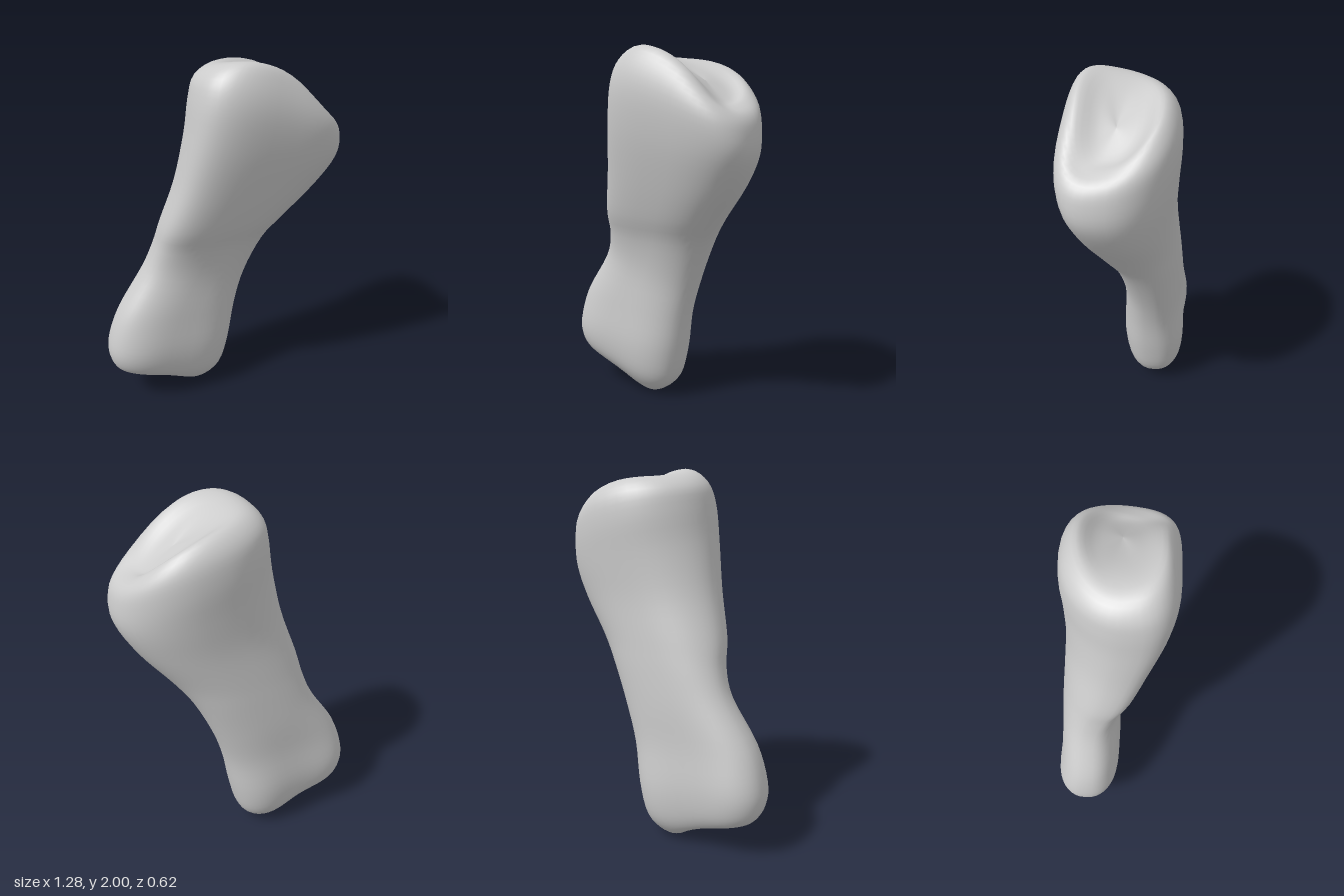
import * as THREE from 'three';

// Cross-sections from the lower end to the upper end of the bone:
// [left x, left y, front z,  right x, right y, back z,  bow, forward ends, groove]
const SECTIONS = [
  [-0.32, 0.13, -0.14, -0.28, 0.11, -0.14, 0.01, 0.00, 0.0],
  [-0.50, 0.175, -0.08, -0.15, 0.01, -0.20, 0.02, 0.00, 0.1],
  [-0.59, 0.20, -0.01, -0.05, 0.02, -0.27, 0.02, 0.00, 0.2],
  [-0.635, 0.28, 0.05, 0.05, 0.11, -0.32, 0.01, 0.00, 0.22],
  [-0.635, 0.40, 0.075, 0.10, 0.29, -0.335, 0.00, 0.00, 0.2],
  [-0.57, 0.59, 0.06, 0.14, 0.52, -0.30, 0.00, 0.00, 0.1],
  [-0.42, 0.82, 0.05, 0.20, 0.72, -0.28, 0.00, 0.00, 0.0],
  [-0.36, 0.97, 0.09, 0.30, 0.95, -0.27, 0.00, 0.01, 0.0],
  [-0.33, 1.12, 0.155, 0.40, 1.10, -0.26, 0.00, 0.03, 0.0],
  [-0.26, 1.36, 0.23, 0.55, 1.29, -0.25, 0.00, 0.05, 0.0],
  [-0.21, 1.62, 0.29, 0.635, 1.45, -0.26, 0.00, 0.07, 0.0],
  [-0.18, 1.81, 0.315, 0.635, 1.58, -0.27, 0.03, 0.07, 0.0],
  [-0.14, 1.92, 0.29, 0.60, 1.66, -0.25, 0.07, 0.06, 0.0],
  [-0.04, 1.98, 0.23, 0.53, 1.70, -0.18, 0.09, 0.05, 0.0],
  [0.10, 1.95, 0.13, 0.46, 1.73, -0.09, 0.03, 0.02, 0.0],
  [0.32, 1.83, 0.03, 0.33, 1.825, 0.03, 0.00, 0.00, 0.0],
];

const STEPS = (SECTIONS.length - 1) * 4;
const SIDES = 48;

// Smooth curve through three neighbouring columns of the section list
function track(column) {
  const points = SECTIONS.map((s) => new THREE.Vector3(s[column], s[column + 1], s[column + 2]));
  return new THREE.CatmullRomCurve3(points, false, 'catmullrom', 0.5);
}

// Rounded-box style outline coordinate
const soften = (v) => Math.sign(v) * Math.pow(Math.abs(v), 0.84);

function boneGeometry() {
  const leftEdge = track(0);
  const rightEdge = track(3);
  const shaping = track(6);
  const positions = [];
  const index = [];

  for (let i = 0; i <= STEPS; i++) {
    const t = i / STEPS;
    const l = leftEdge.getPoint(t);
    const r = rightEdge.getPoint(t);
    const s = shaping.getPoint(t);
    const axis = new THREE.Vector2(r.x - l.x, r.y - l.y);
    const normal = new THREE.Vector2(-axis.y, axis.x).normalize();
    const midZ = (l.z + r.z) / 2;
    const halfZ = (l.z - r.z) / 2;

    for (let j = 0; j < SIDES; j++) {
      const a = (j / SIDES) * Math.PI * 2;
      const u = soften(Math.cos(a));
      const w = soften(Math.sin(a));
      const middle = 1 - u * u;
      // groove between the two knuckles, deeper at the back
      const dent = 1 - s.z * middle ** 3 * (w < 0 ? 1 : 0.4);
      // saddle bow, twisted so the front corner and the opposite back corner rise
      const lift = s.x * (middle - 0.5 * u * w);
      positions.push(
        (l.x + r.x) / 2 + (axis.x * u) / 2 + normal.x * lift,
        (l.y + r.y) / 2 + (axis.y * u) / 2 + normal.y * lift,
        midZ + halfZ * w * dent + s.y * u * u
      );
    }
  }

  for (let i = 0; i < STEPS; i++) {
    for (let j = 0; j < SIDES; j++) {
      const a = i * SIDES + j;
      const b = i * SIDES + ((j + 1) % SIDES);
      index.push(a, a + SIDES, b, b, a + SIDES, b + SIDES);
    }
  }

  const geometry = new THREE.BufferGeometry();
  geometry.setAttribute('position', new THREE.Float32BufferAttribute(positions, 3));
  geometry.setIndex(index);
  geometry.computeVertexNormals();
  return geometry;
}

export function createModel() {
  const group = new THREE.Group();
  group.name = 'fingerBone';
  // Shaft with knuckles below and a dished joint face on top
  const bone = new THREE.Mesh(boneGeometry(), new THREE.MeshStandardMaterial({ color: 0xcccccc }));
  bone.name = 'bone';
  group.add(bone);
  return group;
}
